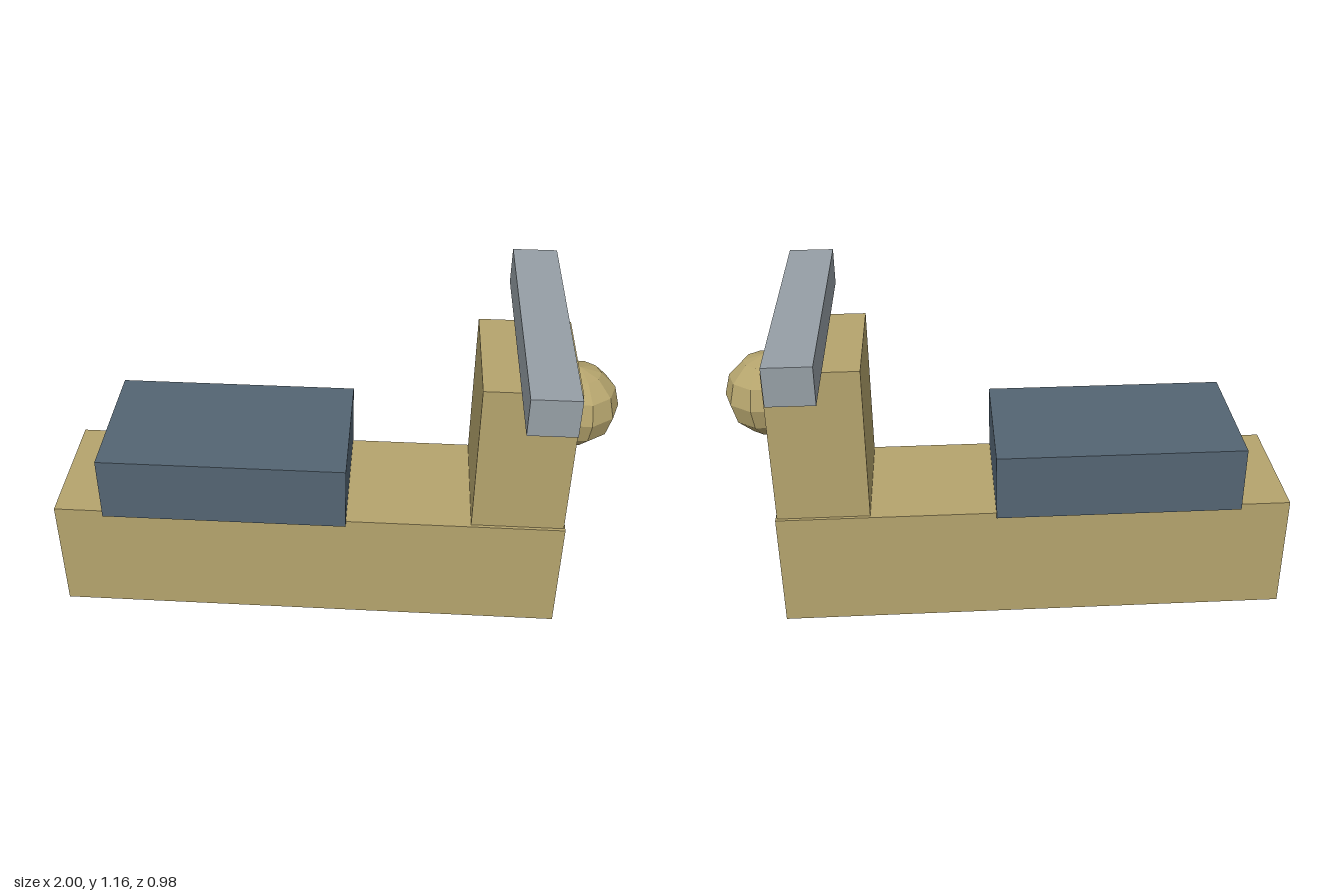
import * as THREE from 'three';

export function createModel() {
  const group = new THREE.Group();
  const material = (name, color, flatShading = false) => {
    const m = new THREE.MeshStandardMaterial({ color, flatShading });
    m.name = name;
    return m;
  };
  const tan = material('tan paint', 0xb5a46d, true);
  const slate = material('slate seat', 0x546573);
  const grey = material('grey metal', 0x969fa6);

  const add = (name, geometry, mat, x, y, z = 0) => {
    const mesh = new THREE.Mesh(geometry, mat);
    mesh.name = name;
    mesh.position.set(x, y, z);
    group.add(mesh);
  };
  // Box given by its x and y limits and its full depth, centred on z = 0
  const block = (name, mat, x0, x1, y0, y1, depth) =>
    add(name, new THREE.BoxGeometry(x1 - x0, y1 - y0, depth), mat, (x0 + x1) / 2, (y0 + y1) / 2);

  block('body', tan, -1, 0.84, 0, 0.437, 0.49);
  block('seat', slate, -0.82, 0.06, 0.425, 0.67, 0.52);
  block('steeringColumn', tan, 0.507, 0.835, 0.43, 1.01, 0.466);
  block('handlebar', grey, 0.63, 0.79, 1.025, 1.16, 0.98);

  // Faceted lamp half sunk into the column
  add('headlamp', new THREE.SphereGeometry(0.15, 10, 6), tan, 0.85, 0.82);

  return group;
}
